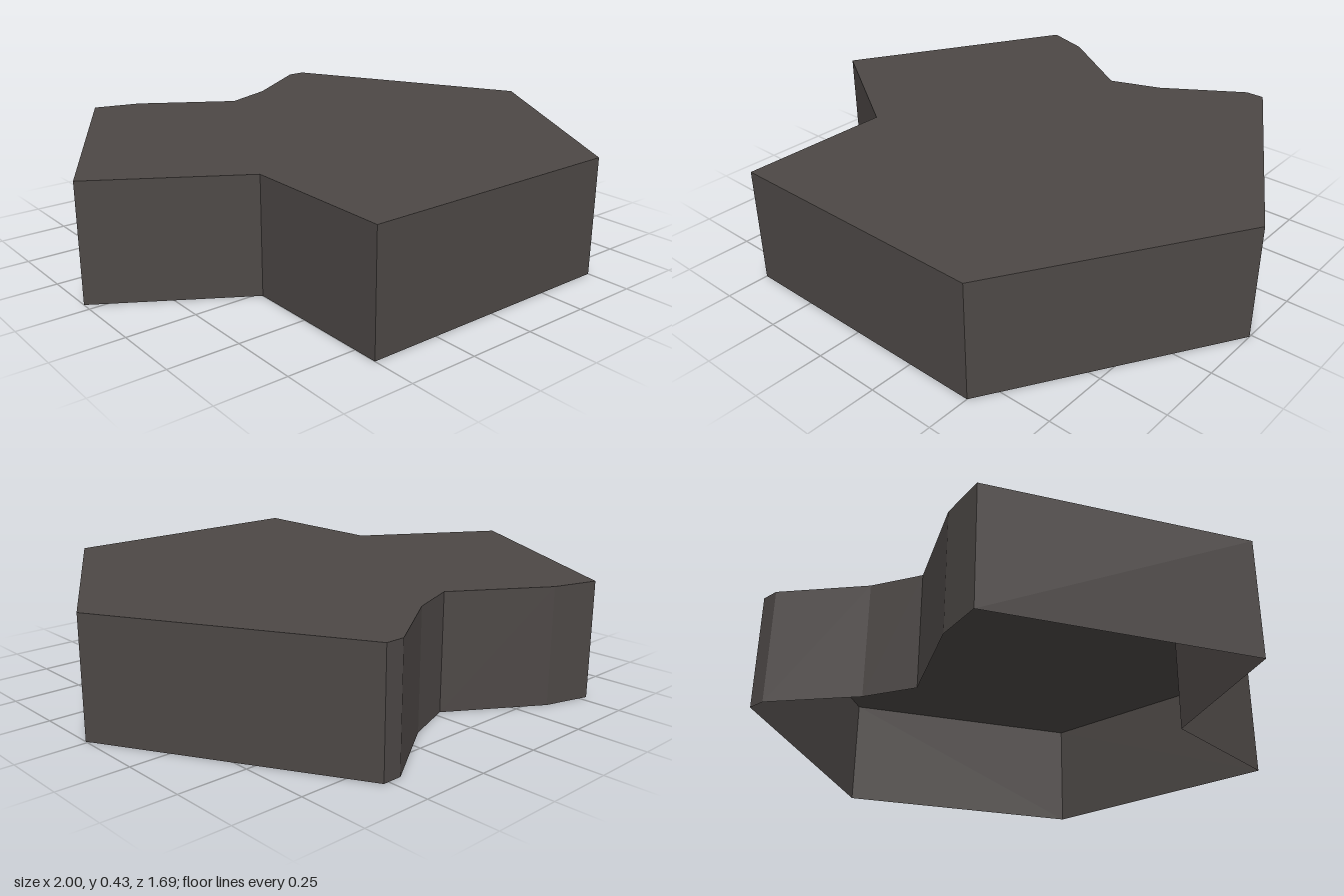
import * as THREE from 'three';

const HEIGHT = 0.43;

// Outline seen from above as [x, z], clockwise from the back right corner
const OUTLINE = [
  [-0.53, -0.85], [-0.36, -0.8], [-0.03, -0.59], [0.16, -0.66],
  [0.45, -0.85], [0.52, -0.85], [1, 0.01], [0.5, 0.84],
  [-0.5, 0.84], [-0.5, 0.27], [-1, -0.04],
];

// One upright quad per outline edge, facing outwards
function wallGeometry() {
  const positions = [];
  OUTLINE.forEach(([ax, az], i) => {
    const [bx, bz] = OUTLINE[(i + 1) % OUTLINE.length];
    positions.push(
      bx, 0, bz, ax, 0, az, ax, HEIGHT, az,
      bx, 0, bz, ax, HEIGHT, az, bx, HEIGHT, bz,
    );
  });
  const geometry = new THREE.BufferGeometry();
  geometry.setAttribute('position', new THREE.Float32BufferAttribute(positions, 3));
  geometry.computeVertexNormals();
  return geometry;
}

// Flat lid filling the outline
function topGeometry() {
  const shape = new THREE.Shape(OUTLINE.map(([x, z]) => new THREE.Vector2(x, -z)));
  return new THREE.ShapeGeometry(shape).rotateX(-Math.PI / 2).translate(0, HEIGHT, 0);
}

export function createModel() {
  const group = new THREE.Group();
  group.name = 'hollowTile';

  // Thin shell, open underneath
  const stone = new THREE.MeshStandardMaterial({ color: 0x4d4846, side: THREE.DoubleSide });
  stone.name = 'darkStone';

  const top = new THREE.Mesh(topGeometry(), stone);
  top.name = 'topSurface';
  const walls = new THREE.Mesh(wallGeometry(), stone);
  walls.name = 'sideWalls';
  group.add(top, walls);
  return group;
}
